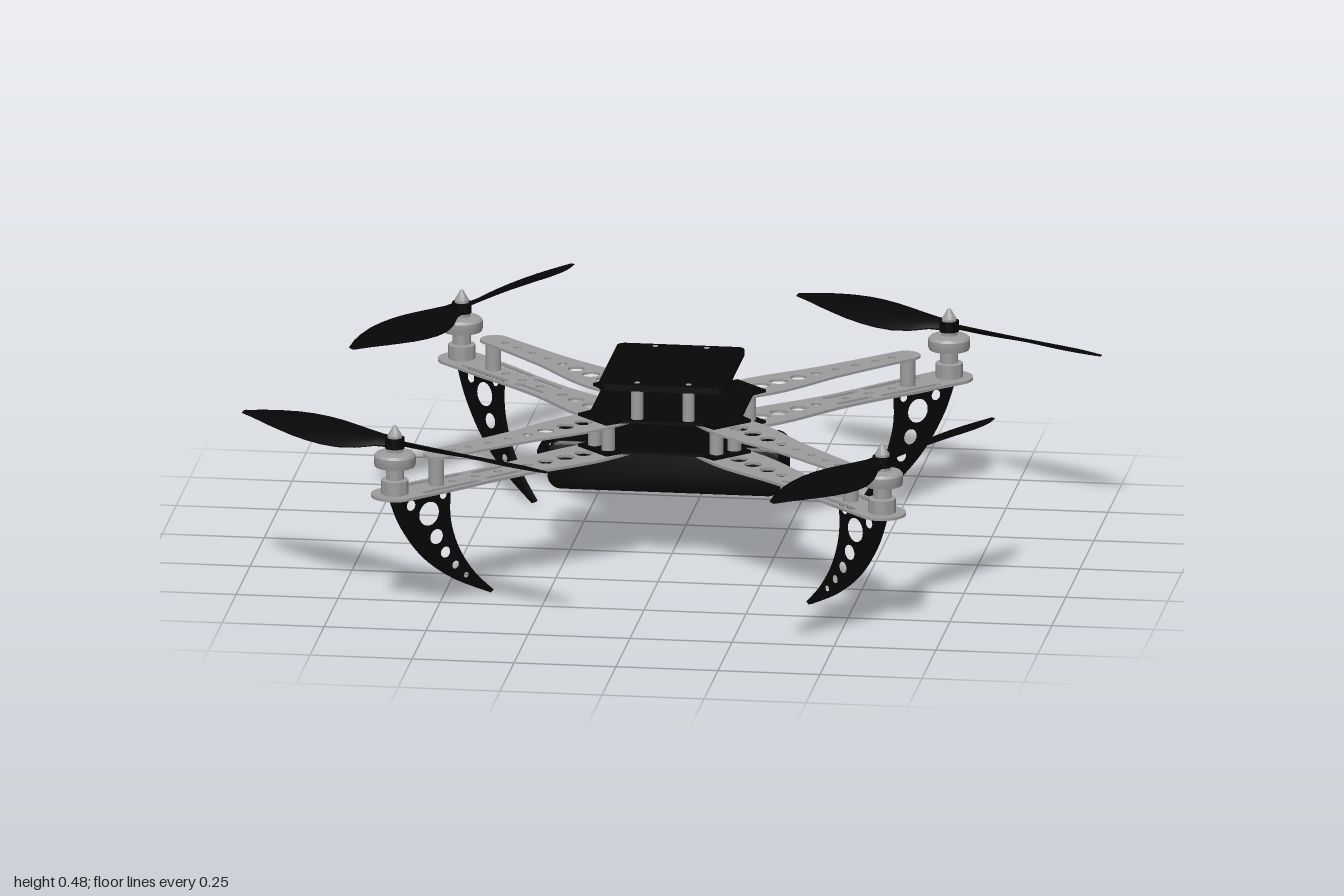
import * as THREE from 'three';
import { toCreasedNormals } from 'three/addons/utils/BufferGeometryUtils.js';

const grey = new THREE.MeshStandardMaterial({ color: 0x9c9c9c });
const black = new THREE.MeshStandardMaterial({ color: 0x060606 });

function add(parent, name, geometry, material, x = 0, y = 0, z = 0) {
  const mesh = new THREE.Mesh(geometry, material);
  mesh.name = name;
  mesh.position.set(x, y, z);
  parent.add(mesh);
  return mesh;
}

const hole = (x, y, r) => new THREE.Path().absarc(x, y, r, 0, Math.PI * 2, true);

// Rounded slot between two points
function slot(x1, y1, x2, y2, r) {
  const a = Math.atan2(y2 - y1, x2 - x1);
  const p = new THREE.Path();
  p.absarc(x1, y1, r, a + Math.PI / 2, a + Math.PI * 1.5, false);
  p.absarc(x2, y2, r, a - Math.PI / 2, a + Math.PI / 2, false);
  p.closePath();
  return p;
}

// Flat horizontal plate cut from a shape
function plate(shape, thickness) {
  const g = new THREE.ExtrudeGeometry(shape, { depth: thickness, bevelEnabled: false, curveSegments: 10 });
  return g.rotateX(-Math.PI / 2);
}

function roundedRect(w, h, r) {
  const s = new THREE.Shape();
  const x = w / 2 - r, y = h / 2 - r, q = Math.PI / 2;
  [[x, y], [-x, y], [-x, -y], [x, -y]].forEach(([cx, cy], i) => s.absarc(cx, cy, r, i * q, (i + 1) * q, false));
  s.closePath();
  return s;
}

// Arm outline: half-widths along the arm, closed by a round end
function armShape(profile, endX, endR) {
  const top = new THREE.SplineCurve(profile.map(([x, w]) => new THREE.Vector2(x, w))).getPoints(20);
  const s = new THREE.Shape();
  s.moveTo(top[0].x, -top[0].y);
  top.slice(1).forEach((p) => s.lineTo(p.x, -p.y));
  s.absarc(endX, 0, endR, -Math.PI / 2 + 0.1, Math.PI / 2 - 0.1, false);
  top.reverse().forEach((p) => s.lineTo(p.x, p.y));
  s.closePath();
  [[0.27, 0.022], [0.325, 0.022], [0.385, 0.02], [0.44, 0.013]].forEach(([x, r]) => s.holes.push(hole(x, 0, r)));
  return s;
}

function lowerArmGeometry() {
  const s = armShape([[0.15, 0.055], [0.25, 0.068], [0.34, 0.066], [0.46, 0.052], [0.58, 0.05], [0.7, 0.056], [0.8, 0.057], [0.845, 0.058]], 0.845, 0.058);
  for (const m of [1, -1]) {
    s.holes.push(slot(0.49, 0.028 * m, 0.58, 0.029 * m, 0.008));
    s.holes.push(slot(0.62, 0.036 * m, 0.78, 0.039 * m, 0.008));
  }
  [0.53, 0.6, 0.67].forEach((x) => s.holes.push(hole(x, 0, 0.011)));
  return plate(s, 0.007);
}

function upperArmGeometry() {
  const s = armShape([[0.15, 0.055], [0.25, 0.068], [0.34, 0.064], [0.46, 0.047], [0.6, 0.039], [0.712, 0.036]], 0.712, 0.036);
  [0.5, 0.56, 0.62, 0.67].forEach((x) => s.holes.push(hole(x, 0, 0.01)));
  return plate(s, 0.006);
}

// Curved fin leg, drawn in the radial plane of its arm
function legGeometry() {
  const s = new THREE.Shape();
  s.moveTo(0.678, 0.294);
  s.lineTo(0.862, 0.294);
  s.splineThru([[0.825, 0.21], [0.757, 0.122], [0.665, 0.053], [0.557, 0]].map((p) => new THREE.Vector2(...p)));
  s.lineTo(0.548, 0.006);
  s.splineThru([[0.605, 0.06], [0.653, 0.13], [0.679, 0.21], [0.678, 0.294]].map((p) => new THREE.Vector2(...p)));
  [[0.745, 0.232, 0.03], [0.722, 0.17, 0.019], [0.695, 0.126, 0.014], [0.664, 0.089, 0.01], [0.632, 0.058, 0.007],
    [0.8, 0.262, 0.013], [0.702, 0.272, 0.01]].forEach(([x, y, r]) => s.holes.push(hole(x, y, r)));
  const t = 0.012;
  return new THREE.ExtrudeGeometry(s, { depth: t, bevelEnabled: false, curveSegments: 10 }).translate(0, 0, -t / 2);
}

// Twisted propeller blade: a box reshaped by edge tables along its span
function bladeGeometry() {
  const lead = [-0.015, -0.021, -0.04, -0.052, -0.056, -0.055, -0.05, -0.041, -0.03, -0.016, -0.003];
  const trail = [0.015, 0.017, 0.024, 0.032, 0.04, 0.046, 0.049, 0.048, 0.042, 0.031, 0.014];
  const g = new THREE.BoxGeometry(1, 1, 1, 20, 1, 6);
  const pos = g.attributes.position;
  const at = (table, u) => {
    const i = Math.min(9, Math.floor(u * 10));
    return THREE.MathUtils.lerp(table[i], table[i + 1], u * 10 - i);
  };
  for (let i = 0; i < pos.count; i++) {
    const u = pos.getX(i) + 0.5, v = pos.getZ(i) + 0.5;
    const z = THREE.MathUtils.lerp(at(lead, u), at(trail, u), v);
    const thick = (0.003 + 0.03 * v * (1 - v)) * (1.2 - 0.7 * u);
    const pitch = 0.5 - 0.35 * u;
    pos.setXYZ(i, u * 0.453, pos.getY(i) * thick + z * Math.tan(pitch), z);
  }
  g.computeVertexNormals();
  return g;
}

function lathe(points) {
  return toCreasedNormals(new THREE.LatheGeometry(points.map((p) => new THREE.Vector2(...p)), 28), 0.6);
}

// Centre frame plate with a lug at each diagonal
function centrePlateGeometry() {
  const s = new THREE.Shape();
  const corner = [[0.185, 0.1], [0.212, 0.132], [0.132, 0.212], [0.1, 0.185]];
  for (let k = 0; k < 4; k++) {
    const a = k * Math.PI / 2, c = Math.cos(a), n = Math.sin(a);
    corner.forEach(([x, y], i) => {
      const px = x * c - y * n, py = x * n + y * c;
      if (k + i === 0) s.moveTo(px, py); else s.lineTo(px, py);
    });
    const d = a + Math.PI / 4, cx = Math.cos(d), cy = Math.sin(d);
    s.holes.push(slot(cx * 0.2, cy * 0.2, cx * 0.23, cy * 0.23, 0.007));
  }
  s.closePath();
  return plate(s, 0.007);
}

export function createModel() {
  const model = new THREE.Group();
  model.name = 'quadcopter';

  // Central frame plates
  const centre = centrePlateGeometry();
  add(model, 'lowerCentrePlate', centre, black, 0, 0.3, 0);
  add(model, 'upperCentrePlate', centre, black, 0, 0.378, 0);

  // Raised top deck on four posts
  add(model, 'topDeck', plate(roundedRect(0.312, 0.365, 0.02), 0.016), black, -0.001, 0.459, 0);
  const post = new THREE.CylinderGeometry(0.015, 0.015, 0.077, 16);
  const screw = new THREE.CylinderGeometry(0.007, 0.007, 0.002, 12);
  for (const x of [-0.063, 0.063]) for (const z of [-0.162, 0.162]) {
    add(model, 'deckPost', post, grey, x, 0.4215, z);
    add(model, 'deckScrew', screw, grey, x, 0.4755, z);
  }

  // Battery slung below the frame, with its two looping leads
  const pack = new THREE.ExtrudeGeometry(roundedRect(0.557, 0.106, 0.025), {
    depth: 0.16, bevelThickness: 0.008, bevelSize: 0.008, bevelSegments: 3, curveSegments: 6 });
  add(model, 'battery', toCreasedNormals(pack, 0.6), black, -0.01, 0.233, -0.097);
  const path = new THREE.CatmullRomCurve3([[-0.28, 0.045], [-0.305, 0.045], [-0.318, 0.02], [-0.32, -0.05],
    [-0.312, -0.11], [-0.28, -0.138], [-0.2, -0.152], [-0.16, -0.15]].map(([x, z]) => new THREE.Vector3(x, 0, z)));
  const lead = new THREE.TubeGeometry(path, 40, 0.01, 8);
  const leadEnd = new THREE.SphereGeometry(0.01, 8, 6);
  for (const y of [0.221, 0.248]) {
    add(model, 'batteryLead', lead, black, 0, y, 0);
    add(model, 'leadEnd', leadEnd, black, -0.16, y, -0.15);
  }

  // Shared geometries for the four arms
  const lowerArm = lowerArmGeometry(), upperArm = upperArmGeometry();
  const leg = legGeometry(), blade = bladeGeometry();
  const innerPost = new THREE.CylinderGeometry(0.017, 0.017, 0.078, 16);
  const outerPost = new THREE.CylinderGeometry(0.019, 0.019, 0.073, 16);
  const motor = lathe([[0, 0.3], [0.033, 0.3], [0.033, 0.335], [0.022, 0.337], [0.022, 0.367],
    [0.049, 0.37], [0.051, 0.376], [0.051, 0.396], [0.046, 0.402], [0.02, 0.406], [0.02, 0.416], [0, 0.416]]);
  const hub = lathe([[0, 0.415], [0.024, 0.415], [0.024, 0.441], [0, 0.441]]);
  const nut = lathe([[0, 0.44], [0.018, 0.44], [0.018, 0.447], [0.011, 0.458], [0.004, 0.471], [0, 0.472]]);

  for (let k = 0; k < 4; k++) {
    const arm = new THREE.Group();
    arm.name = 'armAssembly';
    arm.rotation.y = Math.PI / 4 + k * Math.PI / 2;
    model.add(arm);

    add(arm, 'lowerArm', lowerArm, grey, 0, 0.293, 0);
    add(arm, 'upperArm', upperArm, grey, 0, 0.372, 0);
    add(arm, 'outerPost', outerPost, grey, 0.718, 0.336, 0);
    for (const z of [-0.027, 0.027]) add(arm, 'innerPost', innerPost, grey, 0.215, 0.338, z);
    add(arm, 'leg', leg, black);
    add(arm, 'motor', motor, grey, 0.845);

    const propeller = new THREE.Group();
    propeller.name = 'propeller';
    propeller.position.x = 0.845;
    propeller.rotation.y = THREE.MathUtils.degToRad(-72.5);
    arm.add(propeller);
    add(propeller, 'propellerHub', hub, black);
    add(propeller, 'propellerNut', nut, grey);
    for (const a of [0, Math.PI]) {
      // High edge of the pitched blade sits on its local +z side
      add(propeller, 'blade', blade, black, 0, 0.429, 0).rotation.y = a;
    }
  }
  return model;
}
